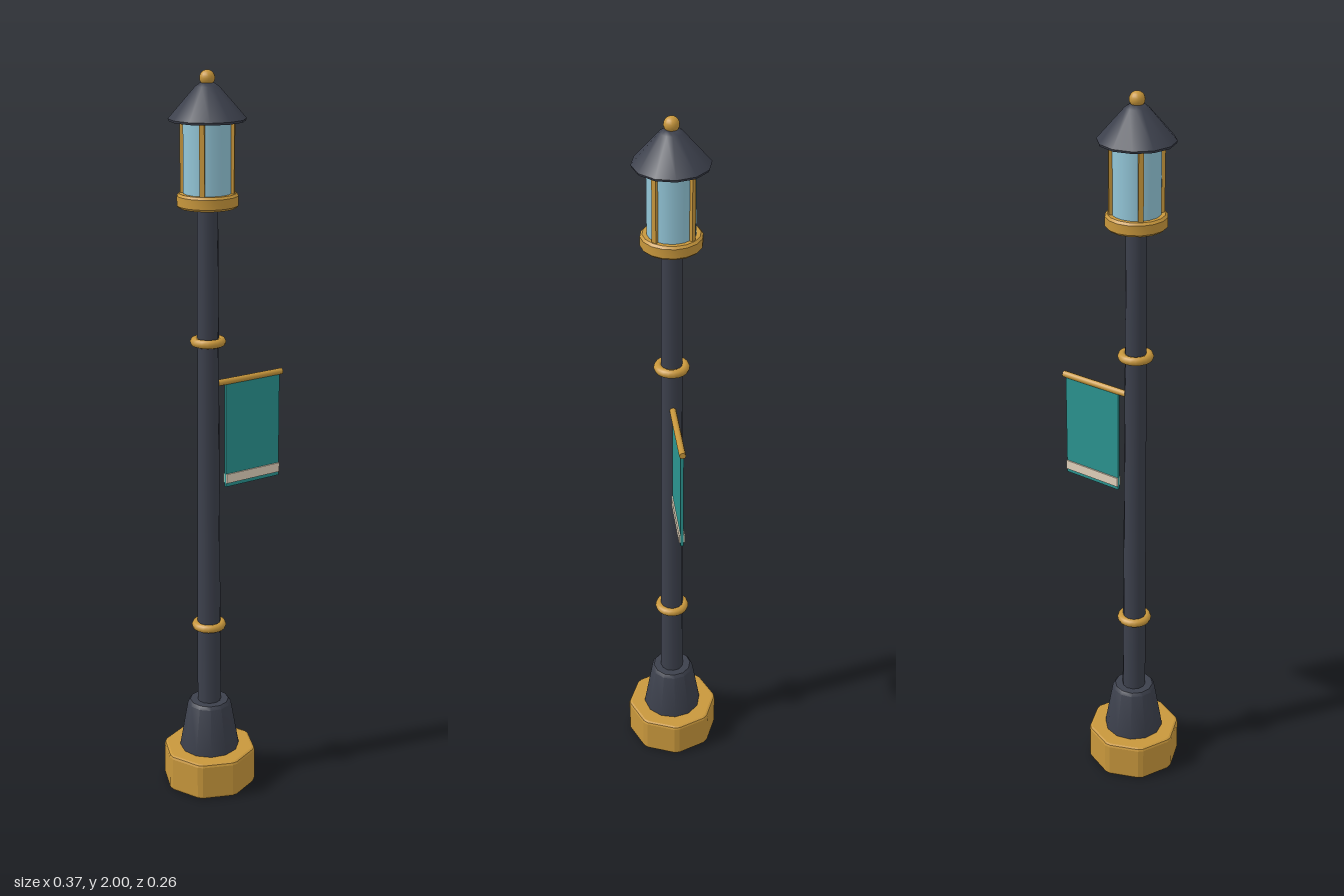
import * as THREE from 'three';
import { toCreasedNormals } from 'three/addons/utils/BufferGeometryUtils.js';

const material = (name, color, side = THREE.FrontSide) => {
  const m = new THREE.MeshStandardMaterial({ color, side });
  m.name = name;
  return m;
};

export function createModel() {
  const iron = material('dark iron', 0x3c404c);
  const brass = material('brass', 0xc8973c);
  const glass = material('pale blue glass', 0x93c6d8);
  const teal = material('teal cloth', 0x2a9490);
  const cream = material('cream trim', 0xe2d3bd);

  const model = new THREE.Group();
  model.name = 'streetLamp';
  const lamp = new THREE.Group();
  lamp.name = 'lampPost';
  lamp.position.x = -0.055;
  model.add(lamp);

  const add = (parent, name, geometry, mat, x = 0, y = 0, z = 0) => {
    const mesh = new THREE.Mesh(geometry, mat);
    mesh.name = name;
    mesh.position.set(x, y, z);
    parent.add(mesh);
    return mesh;
  };
  // Turned part: smooth around, sharp along the profile's edges
  const turned = (points, sides = 12) => toCreasedNormals(
    new THREE.LatheGeometry(points.map(([r, y]) => new THREE.Vector2(r, y)), sides), 0.62);

  // Octagonal plinth with chamfered corners and bevelled rims
  const octagon = [];
  for (let i = 0; i < 8; i++) {
    for (const d of [-0.06, 0.06]) {
      const a = i * Math.PI / 4 + d;
      octagon.push(new THREE.Vector2(Math.cos(a) * 0.1302, Math.sin(a) * 0.1302));
    }
  }
  const bevel = 0.008;
  const plinth = new THREE.ExtrudeGeometry(new THREE.Shape(octagon), {
    depth: 0.108 - 2 * bevel, bevelEnabled: true, bevelSize: bevel,
    bevelThickness: bevel, bevelOffset: -bevel, bevelSegments: 2,
  });
  plinth.rotateX(-Math.PI / 2);
  add(lamp, 'plinth', plinth, brass, 0, bevel, 0);

  // Tapered foot and pole
  add(lamp, 'foot', turned([[0, 0.1], [0.083, 0.1], [0.083, 0.114], [0.061, 0.243], [0.054, 0.252], [0, 0.252]]), iron);
  add(lamp, 'pole', new THREE.CylinderGeometry(0.027, 0.033, 1.43, 12), iron, 0, 0.955, 0);

  // Ring mouldings on the pole
  for (const y of [0.484, 1.3]) {
    const ring = new THREE.TorusGeometry(0.036, 0.012, 8, 20);
    ring.rotateX(Math.PI / 2);
    add(lamp, 'poleRing', ring, brass, 0, y, 0);
  }

  // Lantern: collar, glass, corner bars, roof and finial
  const lantern = new THREE.Group();
  lantern.name = 'lantern';
  lamp.add(lantern);
  add(lantern, 'collar', turned(
    [[0, 1.655], [0.074, 1.655], [0.08, 1.661], [0.08, 1.686], [0.074, 1.692], [0, 1.692]], 16), brass);
  add(lantern, 'glass', new THREE.CylinderGeometry(0.063, 0.063, 0.19, 16), glass, 0, 1.785, 0);
  for (let i = 0; i < 4; i++) {
    const a = Math.PI / 4 + i * Math.PI / 2;
    const bar = add(lantern, 'lanternBar', new THREE.BoxGeometry(0.013, 0.19, 0.013), brass,
      Math.sin(a) * 0.064, 1.785, Math.cos(a) * 0.064);
    bar.rotation.y = a;
  }
  add(lantern, 'roof', turned(
    [[0, 1.874], [0.098, 1.874], [0.1, 1.88], [0.03, 1.96], [0.018, 1.968], [0, 1.97]]), iron);
  add(lantern, 'finial', new THREE.SphereGeometry(0.02, 16, 12), brass, 0, 1.98, 0);

  // Banner hanging from a side rod
  const banner = new THREE.Group();
  banner.name = 'banner';
  model.add(banner);
  const rod = new THREE.CylinderGeometry(0.009, 0.009, 0.225, 8);
  rod.rotateZ(Math.PI / 2);
  add(banner, 'bannerRod', rod, brass, 0.0725, 1.18, 0);
  add(banner, 'bannerCloth', new THREE.BoxGeometry(0.176, 0.293, 0.008), teal, 0.088, 1.0275, 0);
  for (const z of [-0.006, 0.006]) {
    add(banner, 'bannerStripe', new THREE.BoxGeometry(0.176, 0.026, 0.004), cream, 0.088, 0.905, z);
  }
  return model;
}
